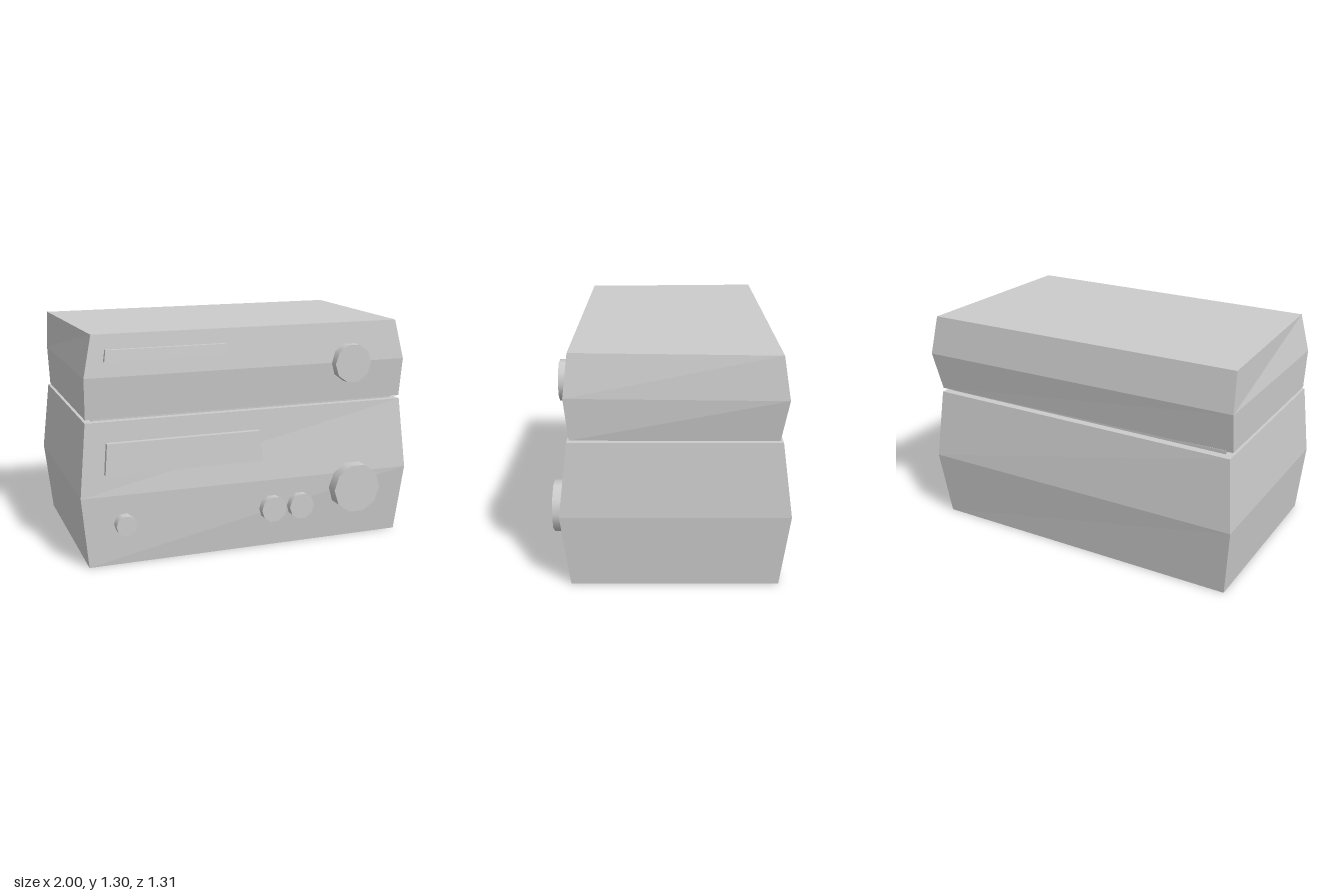
import * as THREE from 'three';

const flat = new THREE.MeshStandardMaterial({ color: 0xcccccc, flatShading: true });
const smooth = new THREE.MeshStandardMaterial({ color: 0xcccccc });

// Closed solid through four-cornered levels, bottom to top.
// Each level: [y, front left, front right, back right, back left], corners as [x, z].
function loft(name, levels) {
  const rings = levels.map(([y, ...corners]) => corners.map(([x, z]) => [x, y, z]));
  const pos = [];
  const quad = (a, b, c, d) => pos.push(...a, ...b, ...c, ...a, ...c, ...d);
  for (let k = 0; k < rings.length - 1; k++) {
    for (let i = 0; i < 4; i++) {
      const j = (i + 1) % 4;
      quad(rings[k][i], rings[k][j], rings[k + 1][j], rings[k + 1][i]);
    }
  }
  quad(...rings[0].slice().reverse());
  quad(...rings[rings.length - 1]);
  const geometry = new THREE.BufferGeometry();
  geometry.setAttribute('position', new THREE.Float32BufferAttribute(pos, 3));
  geometry.computeVertexNormals();
  const mesh = new THREE.Mesh(geometry, flat);
  mesh.name = name;
  return mesh;
}

// Rectangular level
const rect = (y, x0, x1, zBack, zFront) =>
  [y, [x0, zFront], [x1, zFront], [x1, zBack], [x0, zBack]];

// Ten-sided knob facing +z
function knob(name, x, y, radius, zBack, zFront) {
  const geometry = new THREE.CylinderGeometry(radius, radius, zFront - zBack, 10, 1, false, Math.PI / 2);
  geometry.rotateX(Math.PI / 2);
  const mesh = new THREE.Mesh(geometry, smooth);
  mesh.position.set(x, y, (zBack + zFront) / 2);
  mesh.name = name;
  return mesh;
}

export function createModel() {
  const model = new THREE.Group();
  model.name = 'stackedUnits';

  // Lower unit, bulging at mid height
  const lower = new THREE.Group();
  lower.name = 'lowerUnit';
  lower.add(
    loft('lowerCase', [
      rect(0, -0.96, 0.955, -0.6, 0.54),
      [0.41, [-1, 0.56], [0.985, 0.59], [0.985, -0.655], [-1, -0.645]],
      rect(0.825, -0.96, 0.955, -0.6, 0.54),
    ]),
    loft('lowerDisplay', [
      rect(0.535, -0.865, 0.055, 0.5, 0.588),
      rect(0.71, -0.85, 0.04, 0.5, 0.578),
    ]),
    knob('volumeKnob', 0.632, 0.325, 0.148, 0.5, 0.655),
    knob('toneKnob', 0.12, 0.24, 0.077, 0.5, 0.615),
    knob('balanceKnob', 0.295, 0.24, 0.077, 0.5, 0.615),
    knob('powerButton', -0.76, 0.245, 0.058, 0.5, 0.615),
  );

  // Recessed spacer between the units
  const spacer = loft('spacer', [
    rect(0.82, -0.915, 0.915, -0.555, 0.5),
    rect(0.845, -0.915, 0.915, -0.555, 0.5),
  ]);

  // Upper unit, slightly skewed
  const upper = new THREE.Group();
  upper.name = 'upperUnit';
  upper.add(
    loft('upperCase', [
      [0.84, [-0.955, 0.525], [0.96, 0.525], [0.965, -0.58], [-0.955, -0.55]],
      [1.07, [-0.96, 0.55], [0.965, 0.55], [1, -0.62], [-0.96, -0.585]],
      [1.3, [-0.91, 0.525], [0.915, 0.525], [0.965, -0.585], [-0.955, -0.55]],
    ]),
    loft('upperDisplay', [
      rect(1.155, -0.85, -0.15, 0.48, 0.568),
      rect(1.218, -0.84, -0.155, 0.48, 0.56),
    ]),
    knob('tuningKnob', 0.61, 1.067, 0.114, 0.48, 0.6),
  );

  model.add(lower, spacer, upper);
  return model;
}
